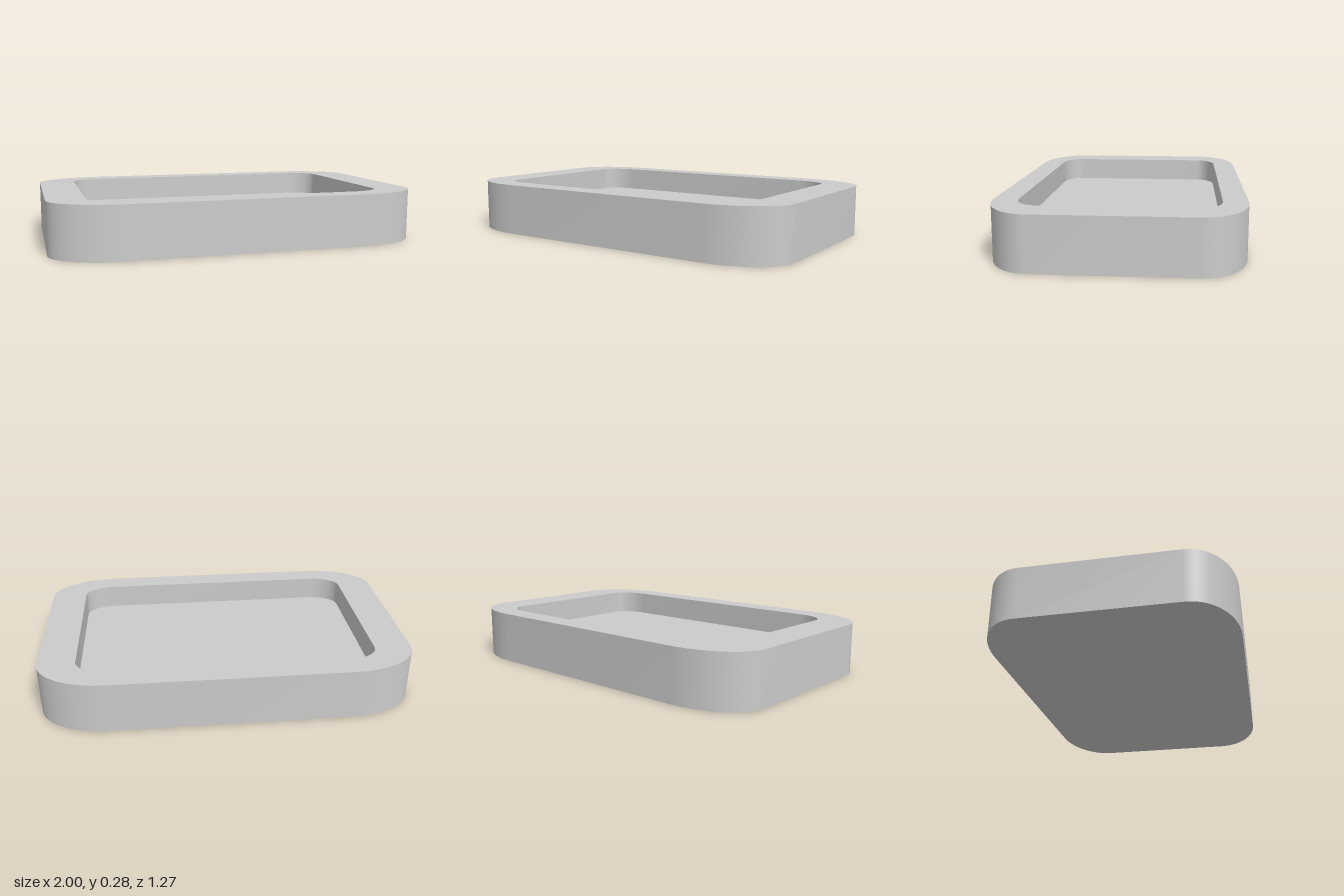
import * as THREE from 'three';
import { toCreasedNormals } from 'three/addons/utils/BufferGeometryUtils.js';

const HEIGHT = 0.28, FLOOR = 0.145;
const CORNER_STEPS = 16;
const CORNER_X = 0.63, CORNER_Z = 0.4; // where the straight sides meet the corners

// Horizontal rounded rectangle with elliptical corners, half size hx by hz
function ring(hx, hz, y) {
  const points = [];
  for (let c = 0; c < 4; c++) {
    const sx = c === 0 || c === 3 ? 1 : -1;
    const sz = c < 2 ? 1 : -1;
    for (let i = 0; i <= CORNER_STEPS; i++) {
      const a = (c + i / CORNER_STEPS) * Math.PI / 2;
      points.push([
        sx * CORNER_X + Math.cos(a) * (hx - CORNER_X), y,
        sz * CORNER_Z + Math.sin(a) * (hz - CORNER_Z),
      ]);
    }
  }
  return points;
}

// Skin a list of equal-length rings, closing both ends with a fan
function skin(rings, yStart, yEnd) {
  const n = rings[0].length, positions = [];
  const tri = (a, b, c) => positions.push(...a, ...b, ...c);
  const last = rings[rings.length - 1];
  for (let i = 0; i < n; i++) {
    const j = (i + 1) % n;
    tri([0, yStart, 0], rings[0][i], rings[0][j]);
    for (let r = 0; r < rings.length - 1; r++) {
      tri(rings[r][i], rings[r + 1][i], rings[r][j]);
      tri(rings[r + 1][i], rings[r + 1][j], rings[r][j]);
    }
    tri(last[i], [0, yEnd, 0], last[j]);
  }
  const geometry = new THREE.BufferGeometry();
  geometry.setAttribute('position', new THREE.Float32BufferAttribute(positions, 3));
  return toCreasedNormals(geometry, Math.PI / 6);
}

export function createModel() {
  const group = new THREE.Group();
  group.name = 'tray';

  // Outer wall, flat rim, recess wall and floor as one closed body
  const geometry = skin([
    ring(1, 0.635, 0),
    ring(1, 0.635, HEIGHT),
    ring(0.8, 0.508, HEIGHT),
    ring(0.8, 0.508, FLOOR),
  ], 0, FLOOR);
  const body = new THREE.Mesh(geometry, new THREE.MeshStandardMaterial({ color: 0xcccccc }));
  body.name = 'trayBody';
  group.add(body);
  return group;
}
